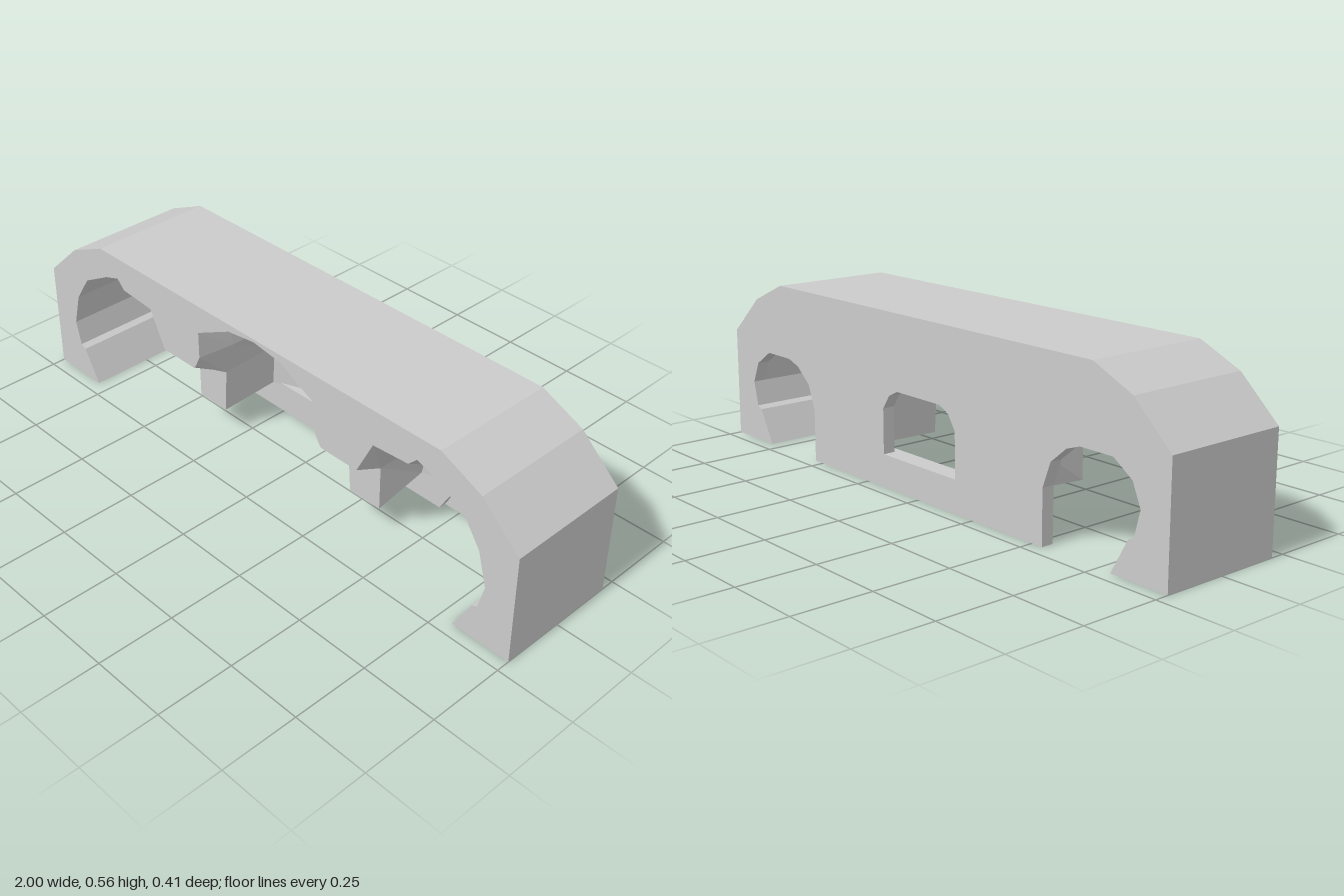
import * as THREE from 'three';
import { mergeGeometries } from 'three/addons/utils/BufferGeometryUtils.js';

const BACK = -0.206, PLATE = -0.165, NECK = -0.13, STEP = 0.085, FRONT = 0.206;
// The shell is open underneath, so both sides show
const material = new THREE.MeshStandardMaterial({
  color: 0xcccccc, flatShading: true, side: THREE.DoubleSide,
});

// Mirror a half outline (x >= 0, listed clockwise) into a counterclockwise loop
function mirrored(half) {
  const left = half.filter(p => p[0] > 0).map(([x, y]) => [-x, y]).reverse();
  return [...half, ...left].reverse().map(([x, y]) => new THREE.Vector2(x, y));
}

// Skin matching loops along z, leaving the undersides open
function skin(sections) {
  const pos = [];
  for (let s = 0; s < sections.length - 1; s++) {
    const a = sections[s], b = sections[s + 1], n = a.loop.length;
    for (let i = 0; i < n; i++) {
      const j = (i + 1) % n;
      const [p, q, r, t] = [a.loop[i], a.loop[j], b.loop[j], b.loop[i]];
      if (Math.max(p.y, q.y, r.y, t.y) <= 0.1) continue;
      pos.push(p.x, p.y, a.z, q.x, q.y, a.z, r.x, r.y, b.z);
      pos.push(p.x, p.y, a.z, r.x, r.y, b.z, t.x, t.y, b.z);
    }
  }
  const g = new THREE.BufferGeometry();
  g.setAttribute('position', new THREE.Float32BufferAttribute(pos, 3));
  g.computeVertexNormals();
  return g;
}

// Flat sheet facing +z
function sheet(loop, z, hole) {
  const shape = new THREE.Shape(loop);
  if (hole) shape.holes.push(new THREE.Path(hole));
  const g = new THREE.ShapeGeometry(shape).toNonIndexed().translate(0, 0, z);
  g.deleteAttribute('uv');
  return g;
}

// Raised plate standing on the back wall
function relief(half, depth) {
  const loop = mirrored(half), z = PLATE + depth;
  return mergeGeometries([skin([{ loop, z: PLATE }, { loop, z }]), sheet(loop, z)]);
}

export function createModel() {
  const group = new THREE.Group();
  const part = (name, ...geometries) => {
    const mesh = new THREE.Mesh(mergeGeometries(geometries), material);
    mesh.name = name;
    group.add(mesh);
  };

  // Shared outer silhouette and outer side of the end tunnels
  const outer = [[0.72, 0.555], [0.865, 0.49], [1, 0.365], [1, 0], [0.8, 0],
    [0.86, 0.11], [0.88, 0.12], [0.9, 0.2]];
  const tunnel = [[0.87, 0.31], [0.81, 0.4], [0.7, 0.46]];

  // Underside, from tunnel crown over the hanging column to the central arch
  const rear = [[0.65, 0.385], [0.62, 0.38], [0.54, 0.38], [0.46, 0.24], [0.5, 0.1], [0.2, 0.1],
    [0.22, 0.25], [0.2, 0.37], [0.2, 0.46], [0.1, 0.515], [0, 0.525]];
  // The column narrows right in front of the back wall
  const neck = [[0.65, 0.385], [0.62, 0.38], [0.5, 0.38], [0.4, 0.25], [0.37, 0.1], [0.29, 0.1],
    [0.28, 0.25], [0.23, 0.37], [0.23, 0.46], [0.1, 0.52], [0, 0.53]];
  const middle = [[0.65, 0.39], [0.62, 0.385], [0.48, 0.38], [0.4, 0.25], [0.4, 0.1], [0.28, 0.1],
    [0.27, 0.25], [0.235, 0.37], [0.24, 0.46], [0.1, 0.525], [0, 0.537]];
  // Same section with the column cut away, giving the column its front face
  const cut = middle.map(([x, y]) => [x, Math.max(y, 0.25)]);
  const front = [[0.64, 0.48], [0.61, 0.45], [0.48, 0.44], [0.42, 0.32], [0.41, 0.32], [0.28, 0.32],
    [0.27, 0.33], [0.25, 0.37], [0.25, 0.46], [0.11, 0.53], [0, 0.545]];
  const section = (under, z) => ({ loop: mirrored([...outer, ...tunnel, ...under]), z });
  const face = section(front, FRONT);
  part('archedBody', skin([section(rear, PLATE), section(neck, NECK), section(middle, STEP),
    section(cut, STEP), face]), sheet(face.loop, FRONT));

  // Back wall with end arches and central window
  const archHole = [[0.87, 0.27], [0.8, 0.317], [0.68, 0.317], [0.63, 0.3], [0.57, 0.25],
    [0.54, 0.17], [0.54, 0]];
  const wall = mirrored([...outer, ...archHole]);
  const windowLoop = mirrored([[0.1, 0.315], [0.14, 0.295], [0.17, 0.25], [0.17, 0.105]]);
  const innerWall = mirrored([...[...tunnel, ...rear].reverse(), [0.9, 0.2], ...archHole]);
  part('backWall',
    sheet(wall, -BACK, windowLoop).rotateY(Math.PI),
    sheet(innerWall, PLATE, windowLoop),
    skin([{ loop: wall, z: BACK }, { loop: wall, z: PLATE }]),
    skin([{ loop: windowLoop, z: PLATE }, { loop: windowLoop, z: BACK }]));

  // Sill with slanted ends below the window
  part('sill', relief([[0.5, 0.105], [0.44, 0]], 0.025));

  // Raised panel above the window, notched at its sides
  part('upperPanel', relief([[0, 0.525], [0.1, 0.515], [0.2, 0.47], [0.2, 0.455], [0.175, 0.44],
    [0.175, 0.41], [0.2, 0.395], [0.2, 0.37], [0.185, 0.36]], 0.02));

  return group;
}
